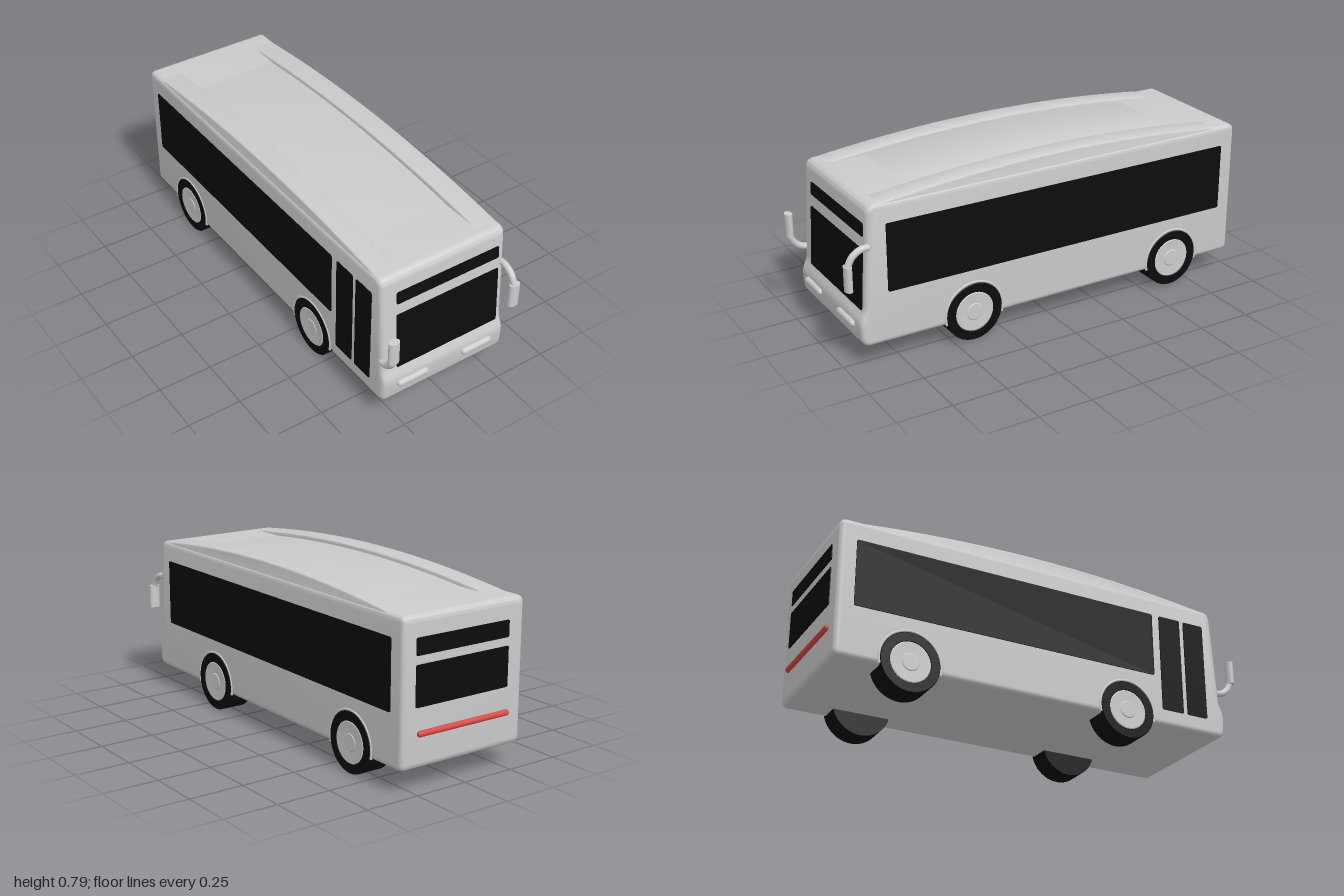
import * as THREE from 'three';
import { toCreasedNormals } from 'three/addons/utils/BufferGeometryUtils.js';

const grey = new THREE.MeshStandardMaterial({ color: 0xcccccc });
const black = new THREE.MeshStandardMaterial({ color: 0x0c0c0c });
const red = new THREE.MeshStandardMaterial({ color: 0xd84a44 });

function part(name, geometry, material = grey) {
  const mesh = new THREE.Mesh(geometry, material);
  mesh.name = name;
  return mesh;
}

// Polygon with softened corners; each point is [u, v, cornerSize]
function softShape(points) {
  const shape = new THREE.Shape();
  points.forEach(([u, v, r], i) => {
    const p = new THREE.Vector2(u, v);
    const toward = (q) => p.clone().add(new THREE.Vector2(q[0], q[1]).sub(p).setLength(r));
    const a = toward(points[(i + points.length - 1) % points.length]);
    const b = toward(points[(i + 1) % points.length]);
    if (i === 0) shape.moveTo(a.x, a.y);
    else shape.lineTo(a.x, a.y);
    shape.quadraticCurveTo(u, v, b.x, b.y);
  });
  shape.closePath();
  return shape;
}

// Extrude a (z, y) side profile across x, centred on x, with rounded flanks
function acrossX(shape, width, bevel, curveSegments = 8) {
  const g = new THREE.ExtrudeGeometry(shape, {
    depth: width - 2 * bevel, bevelThickness: bevel, bevelSize: bevel,
    bevelOffset: -bevel, bevelSegments: 5, curveSegments,
  });
  g.translate(0, 0, bevel - width / 2).rotateY(-Math.PI / 2);
  return toCreasedNormals(g, 0.6);
}

// Thin rounded pane facing +z
function pane(name, w, h) {
  const x = w / 2, y = h / 2, r = 0.008;
  const shape = softShape([[-x, -y, r], [x, -y, r], [x, y, r], [-x, y, r]]);
  const g = new THREE.ExtrudeGeometry(shape, { depth: 0.012, bevelEnabled: false, curveSegments: 4 });
  return part(name, g.translate(0, 0, -0.008), black);
}

// Horizontal capsule spanning x0..x1
function capsule(name, x0, x1, y, z, r, material) {
  const g = new THREE.CapsuleGeometry(r, x1 - x0 - 2 * r, 8, 20).rotateZ(Math.PI / 2);
  const mesh = part(name, g, material);
  mesh.position.set((x0 + x1) / 2, y, z);
  return mesh;
}

// Arched strip lying on the roof, peaking midway
function roofArc(zBack, zFront, peak, width, bevel) {
  const shape = new THREE.Shape();
  shape.moveTo(zBack, 0.69);
  shape.lineTo(zFront, 0.69);
  shape.lineTo(zFront, 0.728);
  shape.quadraticCurveTo((zBack + zFront) / 2, 2 * peak - 0.728, zBack, 0.728);
  shape.closePath();
  return acrossX(shape, width, bevel, 32);
}

function lathe(points) {
  const g = new THREE.LatheGeometry(points.map(([r, y]) => new THREE.Vector2(r, y)), 48);
  return toCreasedNormals(g.rotateZ(-Math.PI / 2), 0.5);
}

// Wheel with its outer face toward +x
function wheel() {
  const group = new THREE.Group();
  group.name = 'wheel';
  group.add(
    part('tyre', lathe([[0, 0.206], [0.135, 0.206], [0.135, 0.318], [0.132, 0.321], [0.094, 0.321], [0.09, 0.317]]), black),
    part('hub', lathe([[0.092, 0.3185], [0.088, 0.321], [0.04, 0.319], [0.036, 0.322], [0, 0.322]])));
  return group;
}

function mirror(side, points) {
  const group = new THREE.Group();
  group.name = side > 0 ? 'leftMirror' : 'rightMirror';
  const curve = new THREE.CatmullRomCurve3(points.map(([y, z]) => new THREE.Vector3(side * 0.309, y, z)));
  const arm = part('mirrorArm', new THREE.TubeGeometry(curve, 28, 0.015, 14));
  const head = part('mirrorHead', new THREE.CylinderGeometry(1, 1, 0.11, 28));
  head.scale.set(0.026, 1, 0.017);
  head.position.set(side * 0.311, 0.435, 0.983);
  group.add(arm, head);
  return group;
}

export function createModel() {
  const bus = new THREE.Group();
  bus.name = 'bus';

  // Body shell: leaning windscreen, bulging bumper
  bus.add(part('body', acrossX(softShape([
    [-0.98, 0.1, 0.032], [0.93, 0.1, 0.04], [0.938, 0.215, 0.025],
    [0.915, 0.265, 0.02], [0.888, 0.733, 0.04], [-0.98, 0.735, 0.032],
  ]), 0.634, 0.022)));

  // Roof: arched centre panel and a taller rail along each side
  bus.add(part('roofPanel', roofArc(-0.77, 0.7, 0.767, 0.43, 0.001)));
  for (const side of [1, -1]) {
    const rail = part('roofRail', roofArc(-0.92, 0.87, 0.786, 0.106, 0.01));
    rail.position.x = side * 0.257;
    bus.add(rail);
  }

  // Front glass, tilted with the face: [name, width, height, y, z]
  for (const [name, w, h, y, z] of [
    ['windscreen', 0.525, 0.275, 0.3975, 0.9075], ['destinationPanel', 0.523, 0.058, 0.619, 0.8948]]) {
    const glass = pane(name, w, h);
    glass.position.set(0.022, y, z);
    glass.rotation.x = -0.058;
    bus.add(glass);
  }

  // Rear glass
  for (const [name, y0, y1] of [['rearWindow', 0.36, 0.535], ['rearUpperWindow', 0.572, 0.645]]) {
    const glass = pane(name, 0.486, y1 - y0);
    glass.position.set(0.01, (y0 + y1) / 2, -0.98);
    glass.rotation.y = Math.PI;
    bus.add(glass);
  }

  // Side glass and doors: [name, side, z0, z1, y0]
  for (const [name, side, z0, z1, y0] of [
    ['leftWindow', 1, -0.905, 0.81, 0.335], ['rightWindow', -1, -0.905, 0.555, 0.335],
    ['rearDoorLeaf', -1, 0.593, 0.706, 0.175], ['frontDoorLeaf', -1, 0.728, 0.835, 0.175]]) {
    const glass = pane(name, z1 - z0, 0.642 - y0);
    glass.position.set(side * 0.317, (y0 + 0.642) / 2, (z0 + z1) / 2);
    glass.rotation.y = side * Math.PI / 2;
    bus.add(glass);
  }

  // Lights
  bus.add(capsule('headlight', -0.25, -0.09, 0.186, 0.938, 0.016, grey));
  bus.add(capsule('headlight', 0.087, 0.247, 0.186, 0.938, 0.016, grey));
  bus.add(capsule('tailLight', -0.243, 0.243, 0.25, -0.984, 0.013, red));

  // Wheels and arch lips
  for (const side of [1, -1]) {
    for (const z of [0.405, -0.645]) {
      const w = wheel();
      w.position.set(0, 0.135, z);
      if (side < 0) w.rotation.y = Math.PI;
      const lip = part('wheelArch', new THREE.TorusGeometry(0.14, 0.006, 10, 48, Math.PI + 0.48)
        .rotateZ(-0.24).rotateY(Math.PI / 2));
      lip.position.set(side * 0.315, 0.135, z);
      bus.add(w, lip);
    }
  }

  // Mirrors: the left hangs from above, the right stands on a lower arm
  bus.add(mirror(1, [[0.553, 0.885], [0.548, 0.925], [0.525, 0.96], [0.48, 0.982], [0.44, 0.984]]));
  bus.add(mirror(-1, [[0.317, 0.9], [0.325, 0.935], [0.35, 0.965], [0.39, 0.982], [0.43, 0.984]]));
  return bus;
}
